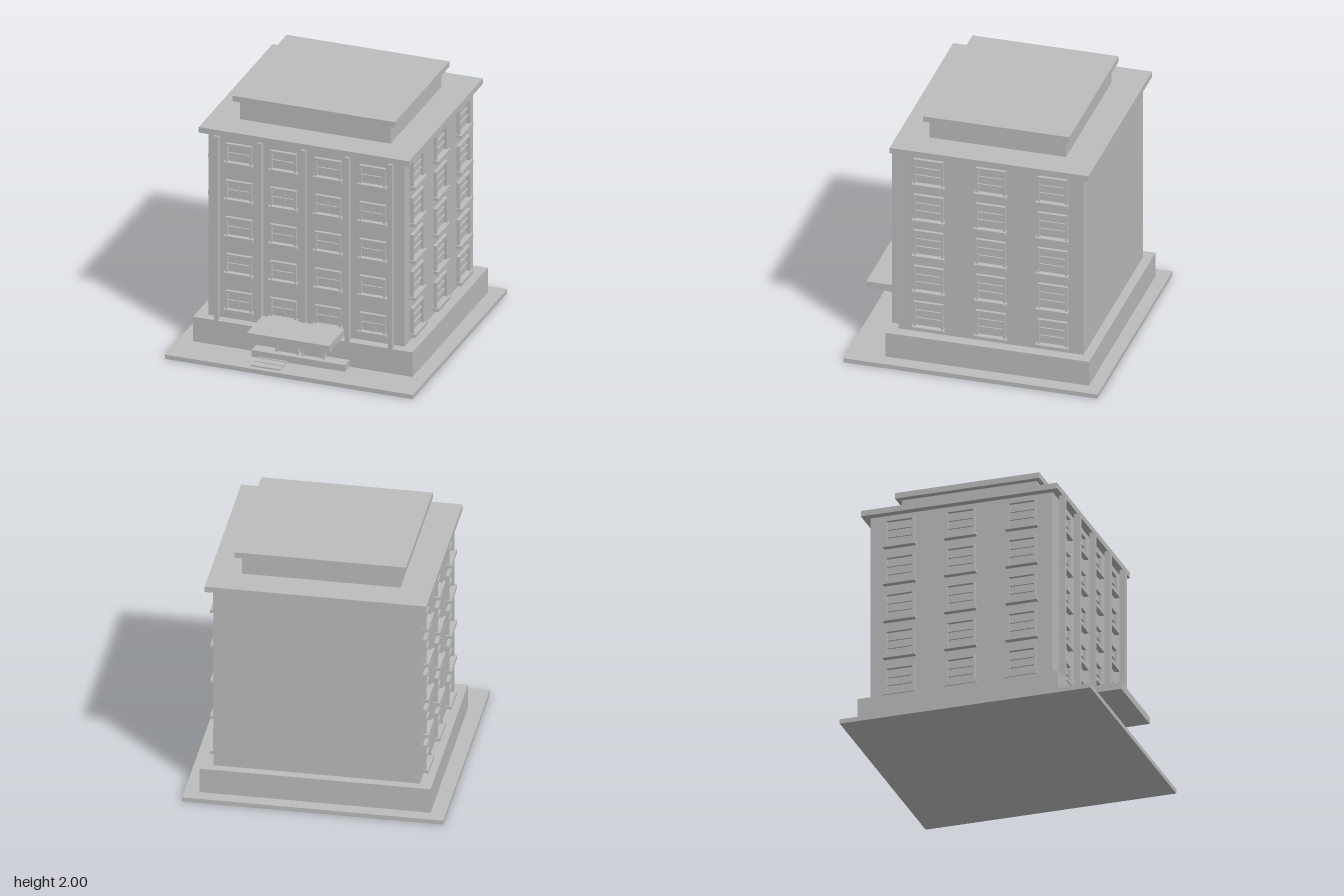
import * as THREE from 'three';

const stone = new THREE.MeshStandardMaterial({ color: 0xbcbcbc });
stone.name = 'stone grey';

// Box given by its min and max on each axis
function block(parent, name, x0, x1, y0, y1, z0, z1) {
  const mesh = new THREE.Mesh(new THREE.BoxGeometry(x1 - x0, y1 - y0, z1 - z0), stone);
  mesh.position.set((x0 + x1) / 2, (y0 + y1) / 2, (z0 + z1) / 2);
  mesh.name = name;
  parent.add(mesh);
  return mesh;
}

// Window facing +z, wall at z = 0, sill bottom at y = 0
function makeWindow(halfWidth, height, sillHalf, sillDepth, bars, cross) {
  const g = new THREE.Group();
  g.name = 'window';
  const t = 0.015, d = 0.026, sill = 0.027;
  block(g, 'windowSill', -sillHalf, sillHalf, 0, sill, -0.005, sillDepth);
  for (const s of [-1, 1]) {
    const x = s * (halfWidth - t / 2);
    block(g, 'frameSide', x - t / 2, x + t / 2, sill, height, -0.005, d);
  }
  block(g, 'frameTop', -halfWidth + t, halfWidth - t, height - t, height, -0.005, d);
  // Glazing bars
  for (let i = 1; i <= bars; i++) {
    const y = sill + ((height - t - sill) * i) / (bars + 1);
    block(g, 'glazingBar', -halfWidth + t, halfWidth - t, y - 0.004, y + 0.004, -0.005, 0.012);
  }
  if (cross) block(g, 'mullion', -0.004, 0.004, sill, height - t, -0.005, 0.012);
  return g;
}

export function createModel() {
  const model = new THREE.Group();
  model.name = 'apartmentBuilding';

  // Main masses
  block(model, 'groundSlab', -0.99, 0.99, 0, 0.035, -0.995, 0.982);
  block(model, 'plinth', -0.876, 0.876, 0.035, 0.237, -0.895, 0.688);
  block(model, 'walls', -0.783, 0.783, 0.237, 1.755, -0.825, 0.614);
  block(model, 'roofSlab', -0.84, 0.84, 1.755, 1.8, -0.88, 0.668);
  block(model, 'penthouse', -0.602, 0.602, 1.8, 1.955, -0.636, 0.428);
  block(model, 'penthouseRoof', -0.65, 0.65, 1.955, 2, -0.676, 0.462);

  // Vertical fins standing just off the facade
  for (const x of [-0.695, -0.35, 0, 0.35, 0.695])
    block(model, 'facadeFin', x - 0.016, x + 0.016, 0.237, 1.755, 0.64, 0.688);

  // Windows on the front and both sides
  for (let row = 0; row < 5; row++) {
    const crossed = row === 0 || row === 3;
    for (const x of [-0.534, -0.178, 0.178, 0.534]) {
      const w = makeWindow(0.104, 0.176, 0.115, 0.04, 1, crossed);
      w.position.set(x, 0.295 + row * 0.304, 0.614);
      model.add(w);
    }
    for (const side of [-1, 1])
      for (const z of [0.377, -0.107, -0.588]) {
        const w = makeWindow(0.115, 0.234, 0.126, 0.045, 2, false);
        w.position.set(side * 0.783, 0.265 + row * 0.304, z);
        w.rotation.y = (side * Math.PI) / 2;
        model.add(w);
      }
  }

  // Entrance: landing, canopy and two framed doors
  const entrance = new THREE.Group();
  entrance.name = 'entrance';
  model.add(entrance);
  block(entrance, 'landing', -0.373, 0.373, 0.035, 0.09, 0.68, 0.785);
  block(entrance, 'canopy', -0.327, 0.327, 0.278, 0.335, 0.68, 1.0);
  for (const s of [-1, 1]) {
    const c = s * 0.104;
    block(entrance, 'door', c - 0.078, c + 0.078, 0.09, 0.278, 0.68, 0.73);
    for (const e of [-1, 1]) {
      const x = c + e * 0.083;
      block(entrance, 'doorJamb', x - 0.006, x + 0.006, 0.09, 0.278, 0.68, 0.75);
    }
  }

  // Low walkway strips in front of the landing
  for (const [z0, z1] of [[0.785, 0.8], [0.81, 0.87], [0.88, 0.942]])
    block(entrance, 'walkwayStrip', -0.317, -0.085, 0.035, 0.046, z0, z1);

  return model;
}
